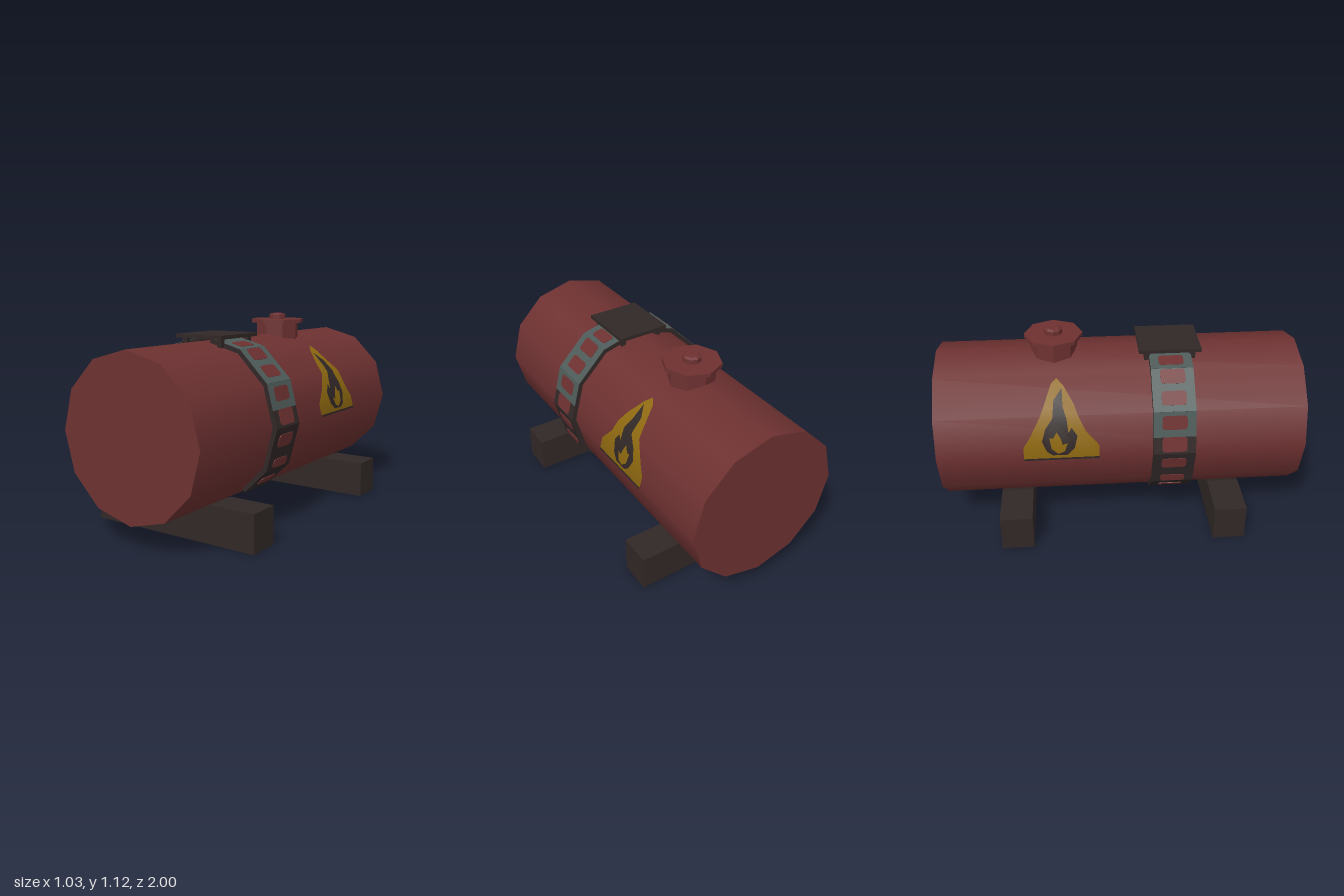
import * as THREE from 'three';

const CY = 0.567, R = 0.434, STRAP_R = 0.46;
const APOTHEM = STRAP_R * Math.cos(Math.PI / 12);
const DEG = Math.PI / 180;

function material(name, color) {
  const m = new THREE.MeshStandardMaterial({ color });
  m.name = name;
  return m;
}

function shapeOf(points) {
  return new THREE.Shape(points.map(([x, y]) => new THREE.Vector2(x, y)));
}

// keeps the part of a polygon on one side of a horizontal line
function clipY(points, limit, sign) {
  const out = [];
  points.forEach((a, i) => {
    const b = points[(i + 1) % points.length];
    const da = sign * (a[1] - limit), db = sign * (b[1] - limit);
    if (da >= 0) out.push(a);
    if (da * db < 0) {
      const t = da / (da - db);
      out.push([a[0] + t * (b[0] - a[0]), limit]);
    }
  });
  return out;
}

// half width of the twelve-sided tank at a height
function tankX(y) {
  const s = (y - CY) / R;
  const k = Math.min(2, Math.floor(Math.asin(Math.max(0, Math.min(1, s))) / (30 * DEG) + 1e-6));
  const a = k * 30 * DEG, b = a + 30 * DEG;
  const t = (s - Math.sin(a)) / (Math.sin(b) - Math.sin(a));
  return R * (Math.cos(a) + t * (Math.cos(b) - Math.cos(a)));
}

function roundedRect(w, h, r) {
  const s = new THREE.Shape(), x = w / 2, y = h / 2;
  s.moveTo(-x + r, -y).lineTo(x - r, -y).quadraticCurveTo(x, -y, x, -y + r);
  s.lineTo(x, y - r).quadraticCurveTo(x, y, x - r, y);
  s.lineTo(-x + r, y).quadraticCurveTo(-x, y, -x, y - r);
  s.lineTo(-x, -y + r).quadraticCurveTo(-x, -y, -x + r, -y);
  return s;
}

export function createModel() {
  const model = new THREE.Group();
  model.name = 'fuelTank';
  const red = material('tankRed', 0x6e3131);
  const dark = material('darkMetal', 0x312827);
  const grey = material('greyMetal', 0x4d5b59);
  const yellow = material('signYellow', 0x8f6910);

  function add(parent, name, geometry, mat, x = 0, y = 0, z = 0) {
    const mesh = new THREE.Mesh(geometry, mat);
    mesh.name = name;
    mesh.position.set(x, y, z);
    parent.add(mesh);
    return mesh;
  }

  // tank body
  add(model, 'tank', new THREE.CylinderGeometry(R, R, 2, 12).rotateX(Math.PI / 2), red, 0, CY, 0);

  // notched saddles
  const saddle = shapeOf([[-0.517, 0], [0.517, 0], [0.517, 0.207], [0.257, 0.207],
    [0, 0.112], [-0.257, 0.207], [-0.517, 0.207]]);
  for (const z of [-0.6, 0.6]) {
    add(model, 'saddle', new THREE.ExtrudeGeometry(saddle, { depth: 0.18, bevelEnabled: false }), dark, 0, 0, z - 0.09);
  }

  // filler hatch
  const hatch = new THREE.Group();
  hatch.name = 'hatch';
  hatch.position.z = -0.355;
  model.add(hatch);
  const disc = (name, rTop, rBottom, y0, y1) => {
    const g = new THREE.CylinderGeometry(rTop, rBottom, y1 - y0, 8).toNonIndexed();
    g.computeVertexNormals();
    add(hatch, name, g, red, 0, (y0 + y1) / 2, 0);
  };
  disc('hatchNeck', 0.128, 0.128, 0.95, 1.066);
  disc('hatchLid', 0.16, 0.16, 1.065, 1.087);
  disc('hatchKnob', 0.05, 0.05, 1.087, 1.112);
  disc('hatchKnobTop', 0.036, 0.05, 1.112, 1.121);

  // ladder strap, one half per side
  const outer = [[0.261, -0.366]];
  for (const a of [-30, 0, 30, 60]) outer.push([STRAP_R * Math.cos(a * DEG), STRAP_R * Math.sin(a * DEG)]);
  outer.push([0.04, 0.449]);
  const inner = outer.map(([x, y]) => [x * 0.93, y * 0.93]).reverse();
  const strapShape = shapeOf([...outer, ...inner]);

  // facet angle, offset along facet, length
  const openings = [[75, -0.057, 0.07], [45, 0.075, 0.08], [45, -0.045, 0.078], [15, 0.058, 0.078],
    [15, -0.065, 0.085], [-15, 0.043, 0.072], [-15, -0.086, 0.05], [-45, 0.01, 0.056]];
  const panels = [[75, -0.022, 0.194], [45, 0, 0.238], [15, 0.048, 0.142]];

  for (const turn of [0, Math.PI]) {
    const half = new THREE.Group();
    half.name = turn ? 'rightStrap' : 'leftStrap';
    half.position.set(0, CY, 0.275);
    half.rotation.y = turn;
    model.add(half);
    add(half, 'strapBand', new THREE.ExtrudeGeometry(strapShape, { depth: 0.23, bevelEnabled: false }), dark, 0, 0, -0.115);
    const plate = (name, [angle, t, length], width, radius, depth, mat) => {
      const shape = radius ? roundedRect(width, length, radius)
        : shapeOf([[-width / 2, -length / 2], [width / 2, -length / 2], [width / 2, length / 2], [-width / 2, length / 2]]);
      const g = new THREE.ExtrudeGeometry(shape, { depth, bevelEnabled: false, curveSegments: 4 });
      g.rotateY(Math.PI / 2).translate(APOTHEM, t, 0).rotateZ(angle * DEG);
      add(half, name, g, mat);
    };
    panels.forEach((p) => plate('strapPanel', p, 0.23, 0, 0.002, grey));
    openings.forEach((o) => plate('strapOpening', o, 0.135, 0.02, 0.004, red));
  }

  // step platform and its brackets
  add(model, 'platform', new THREE.BoxGeometry(0.3, 0.02, 0.34), dark, 0, 1.025, 0.275);
  for (const x of [-0.115, 0.115]) {
    for (const z of [0.15, 0.4]) {
      add(model, 'platformBracket', new THREE.BoxGeometry(0.03, 0.05, 0.03), dark, x, 0.993, z);
    }
  }

  // hazard signs, outlines in z and y
  const sign = [[-0.13, 0.555], [-0.13, 0.62], [-0.2, 0.7], [-0.26, 0.83], [-0.31, 0.9], [-0.345, 0.93],
    [-0.375, 0.91], [-0.42, 0.82], [-0.5, 0.67], [-0.535, 0.62], [-0.535, 0.555]];
  const base = [[-0.13, 0.55], [-0.13, 0.56], [-0.535, 0.56], [-0.535, 0.55]];
  const flame = [[-0.32, 0.89], [-0.365, 0.845], [-0.375, 0.77], [-0.415, 0.715], [-0.435, 0.65], [-0.41, 0.595],
    [-0.38, 0.575], [-0.3, 0.575], [-0.262, 0.61], [-0.245, 0.675], [-0.275, 0.72], [-0.292, 0.69], [-0.3, 0.77], [-0.318, 0.82]];
  const core = [[-0.355, 0.7], [-0.375, 0.665], [-0.395, 0.67], [-0.385, 0.61], [-0.35, 0.583],
    [-0.315, 0.595], [-0.298, 0.64], [-0.325, 0.63], [-0.335, 0.665]];
  const levels = [-1, ...[0, 30, 60].map((a) => CY + R * Math.sin(a * DEG)), 2];

  // lays an outline on the tank facets
  function decal(name, outline, side, lift, mat) {
    for (let i = 0; i < levels.length - 1; i++) {
      const band = clipY(clipY(outline, levels[i], 1), levels[i + 1], -1);
      if (band.length < 3) continue;
      const g = new THREE.ShapeGeometry(shapeOf(band.map(([z, y]) => [-side * z, y])));
      const p = g.attributes.position, n = g.attributes.normal;
      for (let j = 0; j < p.count; j++) {
        const u = p.getX(j), y = p.getY(j), x = tankX(y);
        const len = Math.hypot(x, y - CY);
        const nx = x / len, ny = (y - CY) / len;
        p.setXYZ(j, side * (x + nx * lift), y + ny * lift, -side * u);
        n.setXYZ(j, side * nx, ny, 0);
      }
      add(model, name, g, mat);
    }
  }
  for (const side of [-1, 1]) {
    decal('hazardSign', sign, side, 0.003, yellow);
    decal('hazardSignBase', base, side, 0.005, dark);
    decal('hazardFlame', flame, side, 0.005, dark);
    decal('hazardFlameCore', core, side, 0.007, yellow);
  }

  return model;
}
